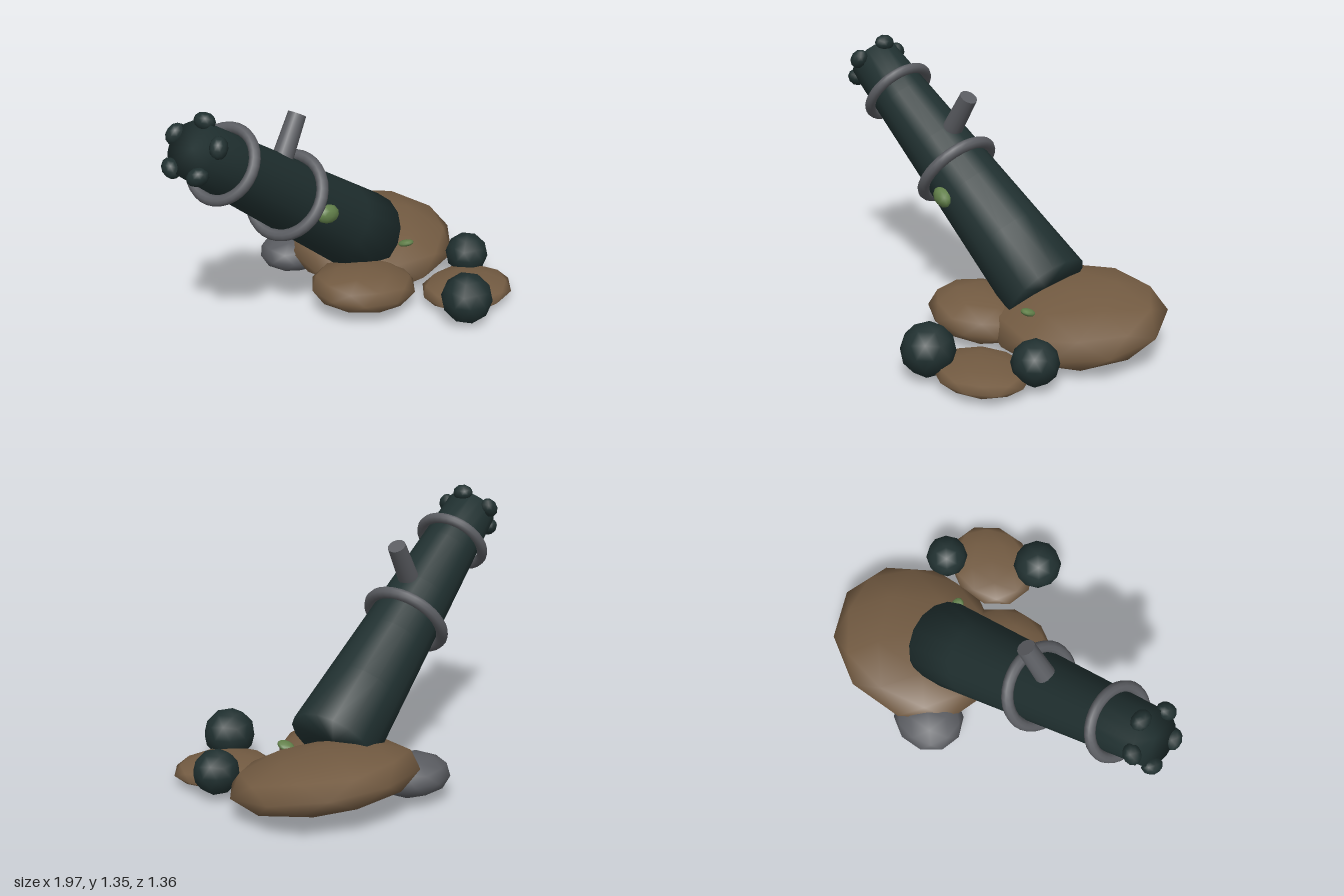
import * as THREE from 'three';
import { mergeVertices } from 'three/addons/utils/BufferGeometryUtils.js';

const flat = (name, color) => {
  const m = new THREE.MeshStandardMaterial({ color });
  m.name = name;
  return m;
};

export function createModel() {
  const iron = flat('dark iron', 0x203030);
  const steel = flat('grey metal', 0x5a5c61);
  const stone = flat('brown stone', 0x735b42);
  const moss = flat('moss green', 0x62804a);

  const model = new THREE.Group();
  const UP = new THREE.Vector3(0, 1, 0);

  const add = (parent, name, geometry, material, pos = [0, 0, 0]) => {
    const mesh = new THREE.Mesh(geometry, material);
    mesh.name = name;
    mesh.position.set(...pos);
    parent.add(mesh);
    return mesh;
  };

  // Low-poly ball with smooth normals and a vertex on top
  const ball = new THREE.IcosahedronGeometry(1, 1).rotateZ(-0.5536);
  const blob = (parent, name, material, pos, scale, rot = [0, 0, 0]) => {
    const mesh = add(parent, name, ball, material, pos);
    mesh.scale.set(...scale);
    mesh.rotation.set(...rot);
    return mesh;
  };

  // Tilted barrel group: local +y runs from the breech to the muzzle
  const cannon = new THREE.Group();
  cannon.name = 'cannon';
  cannon.position.set(-0.25, 0.745, -0.025);
  const dir = new THREE.Vector3(-0.79, 0.587, 0.175).normalize();
  const side = new THREE.Vector3().crossVectors(dir, UP).normalize();
  const top = new THREE.Vector3().crossVectors(side, dir);
  // local x = top of the barrel, local y = axis, local z = side
  cannon.quaternion.setFromRotationMatrix(
    new THREE.Matrix4().makeBasis(top, dir, new THREE.Vector3().crossVectors(top, dir)));
  model.add(cannon);

  // Tapered barrel, shaded smoothly over its rims
  let tube = new THREE.CylinderGeometry(0.135, 0.225, 1.6, 16, 5);
  tube.deleteAttribute('uv');
  tube.deleteAttribute('normal');
  tube = mergeVertices(tube);
  tube.computeVertexNormals();
  add(cannon, 'barrel', tube, iron);

  // Reinforcing rings
  for (const [y, radius, thick] of [[0, 0.205, 0.03], [0.56, 0.175, 0.027]]) {
    const ring = new THREE.TorusGeometry(radius, thick, 10, 32).rotateX(Math.PI / 2);
    add(cannon, 'barrelRing', ring, steel, [0, y, 0]);
  }

  // Five knobs around the muzzle
  for (let i = 0; i < 5; i++) {
    const a = (i / 5) * Math.PI * 2;
    blob(cannon, 'muzzleKnob', iron,
      [Math.cos(a) * 0.136, 0.79, Math.sin(a) * 0.136], [0.042, 0.045, 0.055], [0, -a, 0]);
  }

  // Peg on top of the barrel
  const from = new THREE.Vector3(-0.3, 0.92, -0.01);
  const to = new THREE.Vector3(-0.162, 1.145, -0.045);
  const span = to.clone().sub(from);
  const peg = add(model, 'peg', new THREE.CylinderGeometry(0.046, 0.054, span.length(), 14), steel,
    from.clone().add(to).multiplyScalar(0.5).toArray());
  peg.quaternion.setFromUnitVectors(UP, span.normalize());

  // Stones under and around the breech
  blob(model, 'largeStone', stone, [0.51, 0.165, -0.25], [0.49, 0.145, 0.435], [0.16, 0, 0]);
  blob(model, 'sideStone', stone, [0.17, 0.135, 0.08], [0.295, 0.105, 0.26], [0, 0, -0.1]);
  blob(model, 'frontStone', stone, [0.645, 0.07, 0.37], [0.26, 0.057, 0.22]);
  blob(model, 'greyStone', steel, [0.14, 0.135, -0.46], [0.2, 0.1, 0.18]);

  // Iron balls and a small iron lump beneath the large stone
  blob(model, 'largeBall', iron, [0.46, 0.155, 0.55], [0.133, 0.133, 0.133]);
  blob(model, 'smallBall', iron, [0.82, 0.145, 0.19], [0.115, 0.113, 0.115]);
  blob(model, 'ironLump', iron, [0.78, 0.055, -0.21], [0.04, 0.018, 0.04]);

  // Moss patches
  blob(model, 'barrelMoss', moss, [-0.12, 0.66, 0.135], [0.068, 0.05, 0.04], [0, 0, -0.25]);
  blob(model, 'stoneMoss', moss, [0.515, 0.243, 0.03], [0.036, 0.018, 0.045], [-0.35, 0.4, 0]);

  return model;
}
